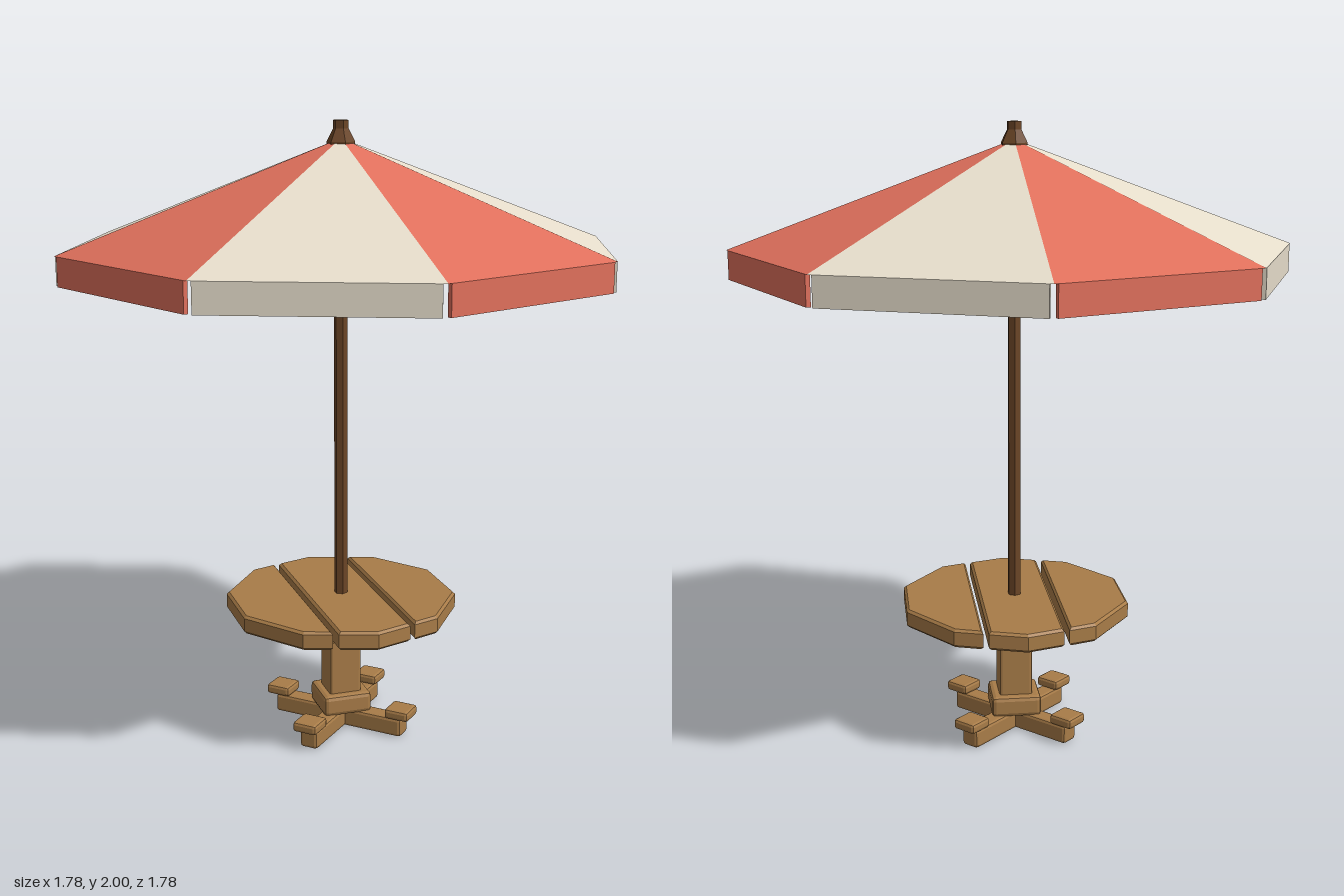
import * as THREE from 'three';
import { RoundedBoxGeometry } from 'three/addons/geometries/RoundedBoxGeometry.js';

const paint = (color, side = THREE.FrontSide) =>
  new THREE.MeshStandardMaterial({ color, flatShading: true, side });

export function createModel() {
  const model = new THREE.Group();
  const wood = paint(0xa87c48), darkWood = paint(0x6b4526), bracketWood = paint(0x7a4a30);
  const red = paint(0xe0705c, THREE.DoubleSide), cream = paint(0xe6ddcb, THREE.DoubleSide);

  const add = (parent, name, geometry, material, x = 0, y = 0, z = 0) => {
    const mesh = new THREE.Mesh(geometry, material);
    mesh.name = name;
    mesh.position.set(x, y, z);
    parent.add(mesh);
    return mesh;
  };
  // Chamfered box resting on height y
  const block = (parent, name, w, h, d, y, bevel, material, z = 0) =>
    add(parent, name, new RoundedBoxGeometry(w, h, d, 1, bevel), material, 0, y + h / 2, z);

  // Canopy: eight alternating panels, each with a hanging valance
  const R = 0.89, rimY = 1.615, apexY = 1.945, step = Math.PI / 4;
  const canopy = new THREE.Group();
  canopy.name = 'canopy';
  model.add(canopy);
  for (let i = 0; i < 8; i++) {
    const cloth = i % 2 ? cream : red;
    add(canopy, 'canopyPanel', new THREE.ConeGeometry(R, apexY - rimY, 1, 1, true, i * step, step),
      cloth, 0, (apexY + rimY) / 2);
    const side = new THREE.Group();
    side.name = 'valanceSide';
    side.rotation.y = (i + 0.5) * step;
    canopy.add(side);
    add(side, 'valance', new THREE.BoxGeometry(2 * R * Math.sin(step / 2) - 0.026, 0.09, 0.014),
      cloth, 0, rimY - 0.045, R * Math.cos(step / 2) - 0.007);
  }

  // Pole and finial
  add(model, 'pole', new THREE.CylinderGeometry(0.022, 0.022, 1.54, 6), darkWood, 0, 1.17);
  const finial = [[0, 1.925], [0.045, 1.925], [0.045, 1.935], [0.024, 1.975], [0.024, 2], [0, 2]];
  add(model, 'finial', new THREE.LatheGeometry(finial.map(p => new THREE.Vector2(...p)), 6), darkWood);

  // Table top: ten-sided outline cut into three planks
  const outline = [];
  for (let k = 0; k <= 2; k++) {
    const a = k * Math.PI / 5;
    outline.push([0.38 * Math.sin(a), 0.38 * Math.cos(a)]);
  }
  const halfDepth = x => {
    const k = Math.abs(x) < outline[1][0] ? 0 : 1;
    const [[xa, za], [xb, zb]] = [outline[k], outline[k + 1]];
    return za + (zb - za) * (Math.abs(x) - xa) / (xb - xa);
  };
  const corners = [-outline[1][0], 0, outline[1][0]];
  const edge = outline[2][0], bevel = 0.008;
  for (const [x0, x1] of [[-edge, -0.135], [-0.118, 0.118], [0.135, edge]]) {
    const xs = [x0, ...corners.filter(x => x > x0 && x < x1), x1];
    const points = [
      ...xs.map(x => new THREE.Vector2(x, -halfDepth(x))),
      ...xs.slice().reverse().map(x => new THREE.Vector2(x, halfDepth(x))),
    ];
    const geometry = new THREE.ExtrudeGeometry(new THREE.Shape(points), {
      depth: 0.06 - 2 * bevel, bevelEnabled: true, bevelSegments: 1,
      bevelSize: bevel, bevelThickness: bevel, bevelOffset: -bevel,
    });
    geometry.rotateX(-Math.PI / 2);
    add(model, 'tablePlank', geometry, wood, 0, 0.405 + bevel);
  }

  // Pedestal
  block(model, 'tableBracket', 0.205, 0.04, 0.085, 0.367, 0.008, bracketWood);
  block(model, 'pedestalCapital', 0.165, 0.057, 0.165, 0.314, 0.014, wood);
  block(model, 'pedestalShaft', 0.11, 0.26, 0.11, 0.08, 0.01, wood);
  block(model, 'pedestalCollar', 0.165, 0.07, 0.165, 0.057, 0.014, wood);

  // Diagonal feet with a pad on each end
  for (let i = 0; i < 4; i++) {
    const foot = new THREE.Group();
    foot.name = 'foot';
    foot.rotation.y = (i + 0.5) * Math.PI / 2;
    model.add(foot);
    block(foot, 'footBeam', 0.062, 0.063, 0.235, 0, 0.01, wood, 0.1175);
    block(foot, 'footPad', 0.085, 0.034, 0.085, 0.063, 0.01, wood, 0.223);
  }
  return model;
}
